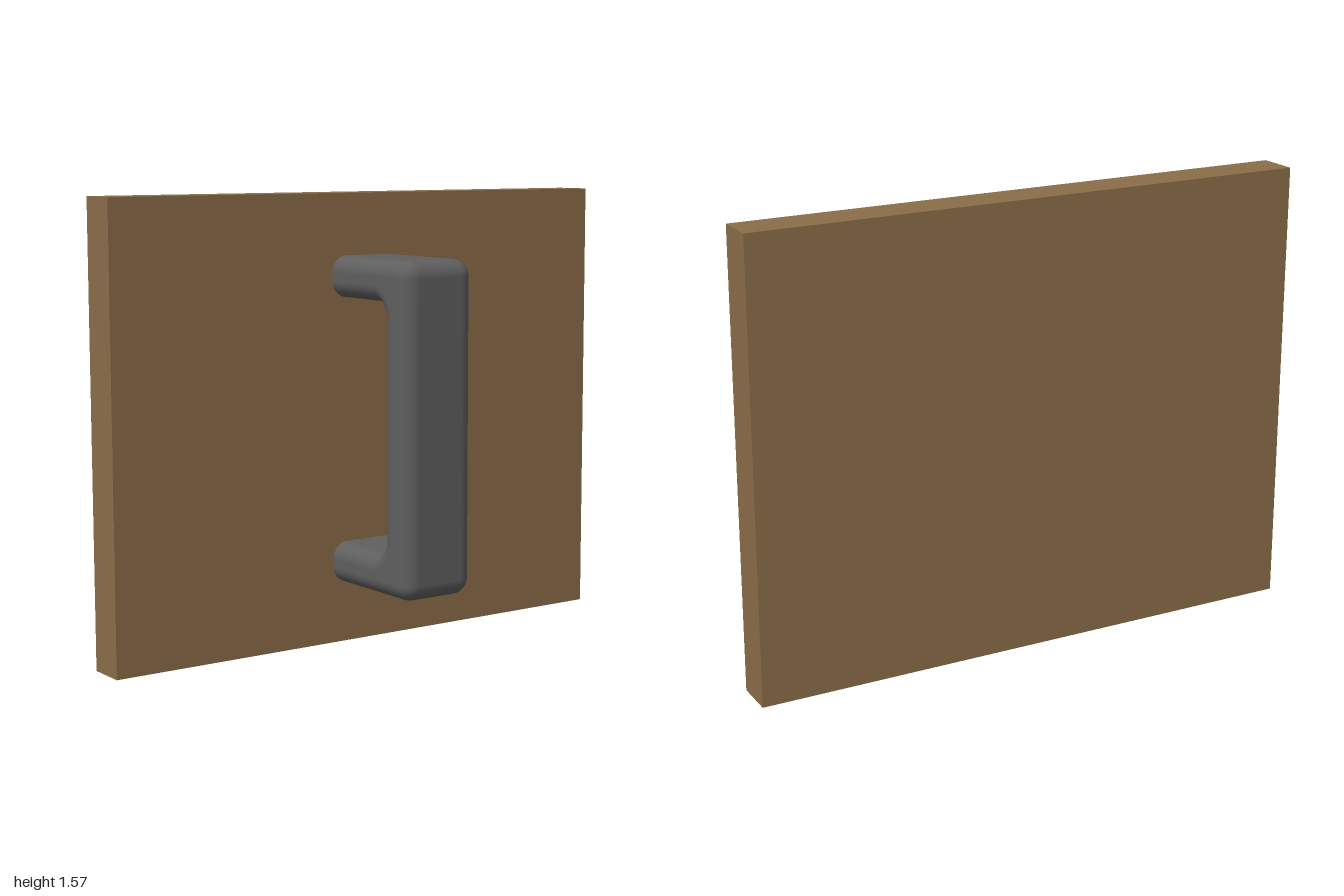
import * as THREE from 'three';

const HALF_WIDTH = 0.143; // handle half width
const R = 0.057;          // edge rounding and corner fillet
const MID_Y = 0.7855;     // centre height
const STEPS = 8;

// Cross-section: rounded rectangle as {x, inset, side, normal parts}
function handleSection() {
  const half = [];
  for (const sign of [-1, 1]) {
    for (let i = 0; i <= STEPS; i++) {
      const a = (sign < 0 ? i / STEPS - 1 : i / STEPS) * Math.PI / 2;
      half.push({
        x: sign * (HALF_WIDTH - R) + R * Math.sin(a),
        inset: R * (1 - Math.cos(a)),
        nx: Math.sin(a),
        nd: Math.cos(a),
      });
    }
  }
  const outer = half.map((p) => ({ ...p, outer: true }));
  const inner = half.map((p) => ({ ...p, outer: false, nd: -p.nd })).reverse();
  return [...outer, ...inner, outer[0]];
}

// Stations along the U: upper leg, two corners, lower leg
function handlePath() {
  const stations = [{ angle: Math.PI / 2, sign: 1, atBoard: true }];
  for (const sign of [1, -1]) {
    for (let i = 0; i <= STEPS; i++) {
      const t = sign > 0 ? 1 - i / STEPS : -i / STEPS;
      stations.push({ angle: t * Math.PI / 2, sign, atBoard: false });
    }
  }
  stations.push({ angle: -Math.PI / 2, sign: -1, atBoard: true });
  return stations;
}

function handleGeometry() {
  const section = handleSection();
  const path = handlePath();
  const positions = [], normals = [], index = [];
  path.forEach(({ angle, sign, atBoard }, j) => {
    const dz = Math.cos(angle), dy = Math.sin(angle);
    section.forEach((p, i) => {
      // outer and inner corners turn about their own centres
      const cz = atBoard ? -0.143 : p.outer ? 0.286 - R : 0.143 - R;
      const cy = MID_Y + sign * ((p.outer ? 0.5715 : 0.4285) - R);
      const radius = p.outer ? R - p.inset : R + p.inset;
      positions.push(p.x, cy + radius * dy, cz + radius * dz);
      normals.push(p.nx, p.nd * dy, p.nd * dz);
      if (j < path.length - 1 && i < section.length - 1) {
        const a = j * section.length + i, b = a + section.length;
        index.push(a, b, a + 1, b, b + 1, a + 1);
      }
    });
  });
  const geometry = new THREE.BufferGeometry();
  geometry.setAttribute('position', new THREE.Float32BufferAttribute(positions, 3));
  geometry.setAttribute('normal', new THREE.Float32BufferAttribute(normals, 3));
  geometry.setIndex(index);
  return geometry;
}

export function createModel() {
  const wood = new THREE.MeshStandardMaterial({ color: 0x8b6d49 });
  wood.name = 'wood brown';
  const metal = new THREE.MeshStandardMaterial({ color: 0x5f5f5f });
  metal.name = 'dark grey';

  const model = new THREE.Group();
  model.name = 'panelWithPullHandle';

  // Flat board
  const panel = new THREE.Mesh(new THREE.BoxGeometry(2, 1.571, 0.143), wood);
  panel.name = 'panel';
  panel.position.set(0, MID_Y, -0.2145);
  model.add(panel);

  // Rounded U-shaped pull
  const handle = new THREE.Mesh(handleGeometry(), metal);
  handle.name = 'handle';
  model.add(handle);

  return model;
}
